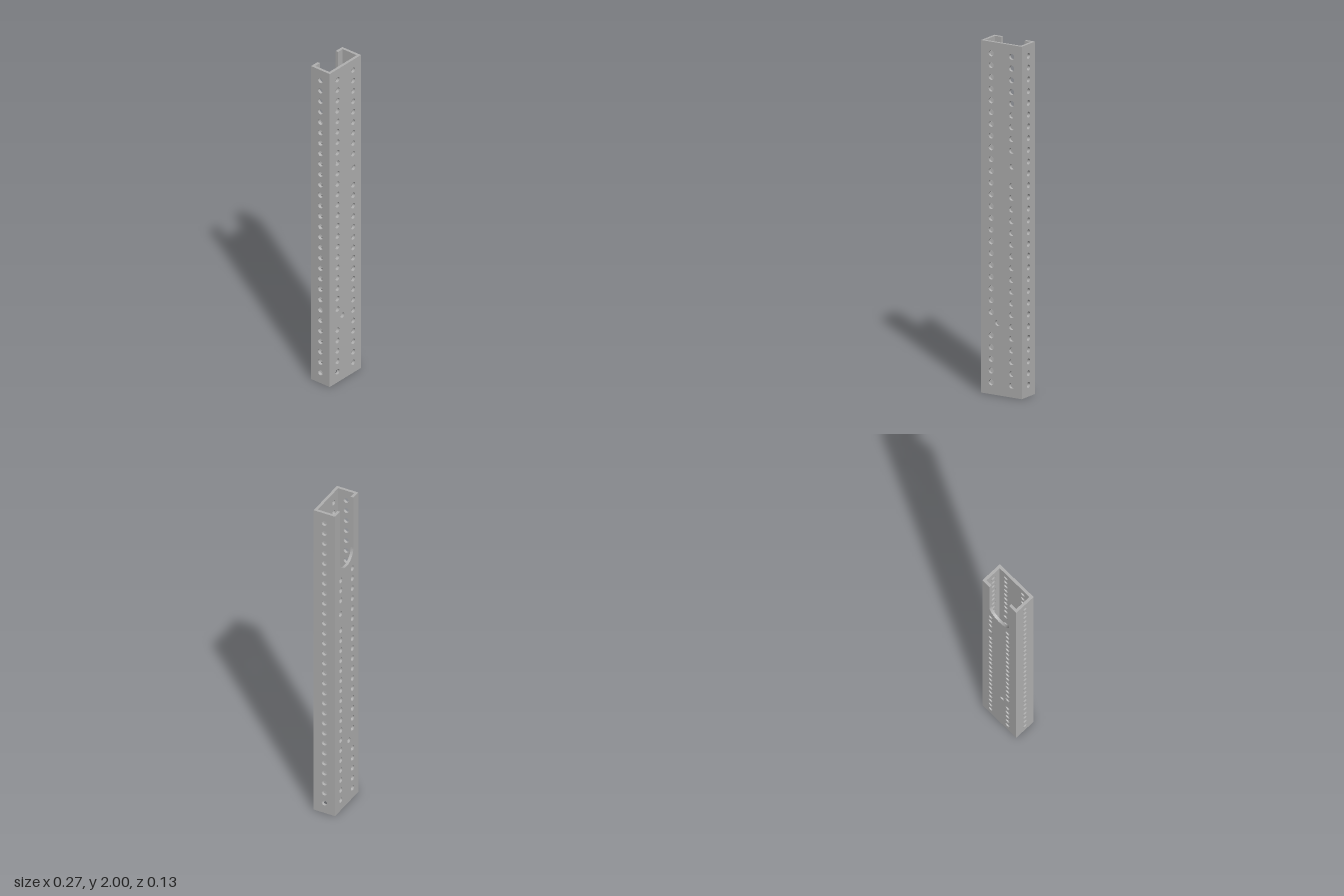
import * as THREE from 'three';

const H = 2, HALF_W = 0.1333, HALF_D = 0.0667, WALL = 0.0167;
const PITCH = H / 30, HOLE_R = 0.0165;
const SLOT_R = 0.077, SLOT_Y = 1.665;

// Flat plate in the xy plane, pierced by round holes, with its thickness centred on z = 0
function plate(name, outline, holes, material) {
  for (const [x, y] of holes) {
    const hole = new THREE.Path();
    hole.absarc(x, y, HOLE_R, 0, Math.PI * 2, true);
    outline.holes.push(hole);
  }
  const geometry = new THREE.ExtrudeGeometry(outline, { depth: WALL, bevelEnabled: false, curveSegments: 12 });
  geometry.translate(0, 0, -WALL / 2);
  const mesh = new THREE.Mesh(geometry, material);
  mesh.name = name;
  return mesh;
}

function rectangle(halfWidth) {
  return new THREE.Shape()
    .moveTo(-halfWidth, 0).lineTo(halfWidth, 0).lineTo(halfWidth, H).lineTo(-halfWidth, H).closePath();
}

// Rectangle with a round-bottomed slot open at the top
function slottedRectangle(halfWidth) {
  return new THREE.Shape()
    .moveTo(-halfWidth, 0).lineTo(halfWidth, 0).lineTo(halfWidth, H).lineTo(SLOT_R, H)
    .lineTo(SLOT_R, SLOT_Y)
    .absarc(0, SLOT_Y, SLOT_R, 0, -Math.PI, true)
    .lineTo(-SLOT_R, H).lineTo(-halfWidth, H).closePath();
}

export function createModel() {
  const group = new THREE.Group();
  group.name = 'perforatedTube';
  const metal = new THREE.MeshStandardMaterial({ color: 0xb0b0b0 });
  metal.name = 'grey metal';

  // Two columns of holes, with a few rows replaced by off-grid holes
  const wideHoles = [[-0.025, 0.41], [0.07, 1.31]];
  const sideHoles = [];
  for (let i = 1; i < 30; i++) {
    const y = i * PITCH;
    if (i !== 6) wideHoles.push([-PITCH, y]);
    if (i !== 19 && i !== 20) wideHoles.push([PITCH, y]);
    sideHoles.push([0, y]);
  }

  // Wide walls
  const front = plate('frontWall', rectangle(HALF_W), wideHoles, metal);
  front.position.z = HALF_D - WALL / 2;
  const belowSlot = wideHoles.filter(([, y]) => y < 1.57);
  const back = plate('backWall', slottedRectangle(HALF_W), belowSlot, metal);
  back.position.z = -HALF_D + WALL / 2;
  group.add(front, back);

  // Narrow walls between them
  for (const side of [-1, 1]) {
    const wall = plate(side > 0 ? 'leftWall' : 'rightWall', rectangle(HALF_D - WALL), sideHoles, metal);
    wall.rotation.y = side * Math.PI / 2;
    wall.position.x = side * (HALF_W - WALL / 2);
    group.add(wall);
  }
  return group;
}
